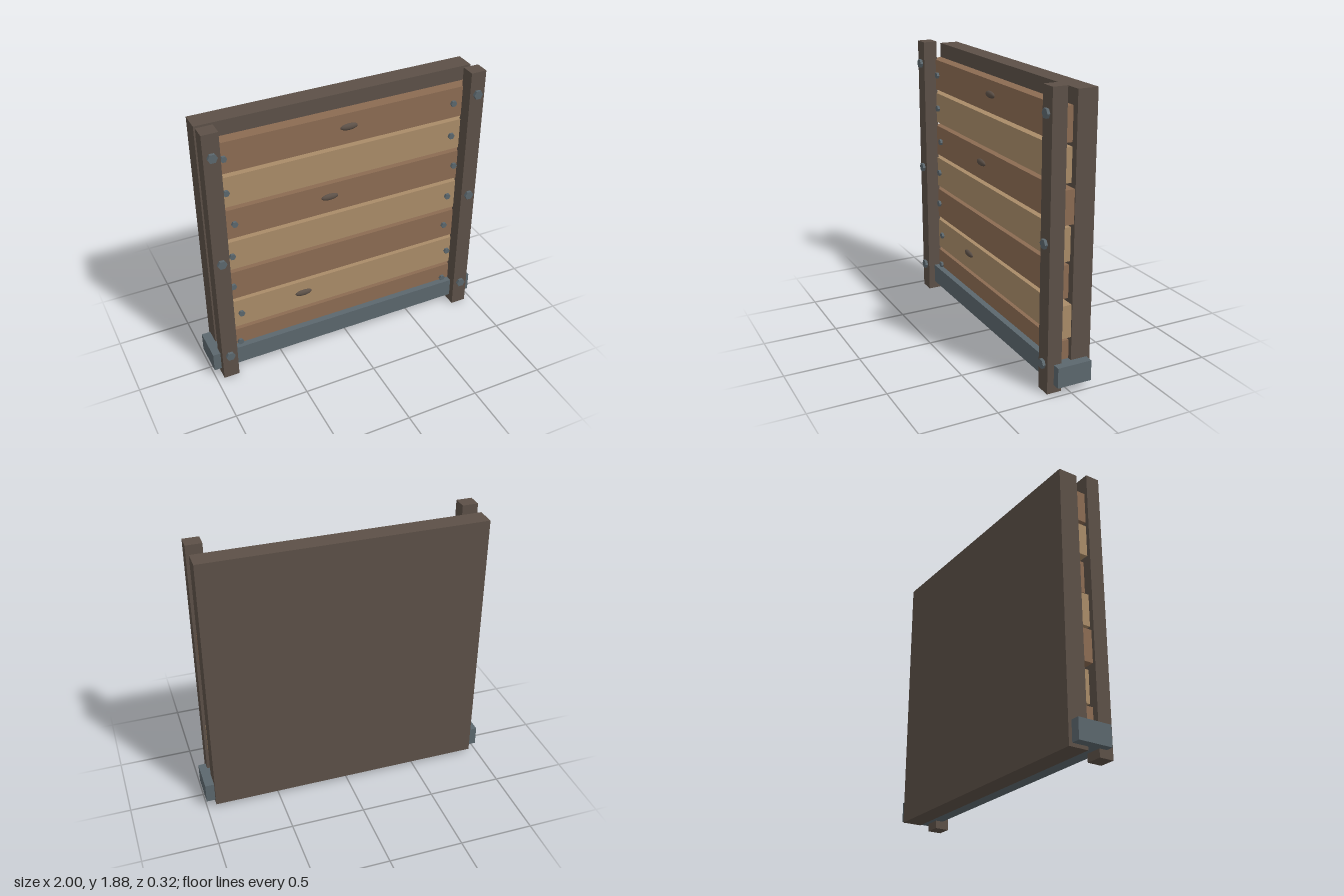
import * as THREE from 'three';

export function createModel() {
  const model = new THREE.Group();
  model.name = 'plankPanel';

  const material = (name, color) => {
    const m = new THREE.MeshStandardMaterial({ color });
    m.name = name;
    return m;
  };
  const darkWood = material('darkWood', 0x5c5047);
  const brownWood = material('brownWood', 0x8b6b52);
  const tanWood = material('tanWood', 0xa98b68);
  const steel = material('steel', 0x5b676d);

  const add = (name, geometry, mat, x, y, z, parent = model) => {
    const mesh = new THREE.Mesh(geometry, mat);
    mesh.name = name;
    mesh.position.set(x, y, z);
    parent.add(mesh);
    return mesh;
  };
  // Box given by its lower and upper limits
  const box = (name, mat, [x0, x1], [y0, y1], [z0, z1], parent) =>
    add(name, new THREE.BoxGeometry(x1 - x0, y1 - y0, z1 - z0), mat,
      (x0 + x1) / 2, (y0 + y1) / 2, (z0 + z1) / 2, parent);
  // Hexagonal head facing the front, corners to the sides
  const hexHead = (radius, depth) => {
    const g = new THREE.CylinderGeometry(radius, radius, depth, 6).toNonIndexed();
    g.rotateY(Math.PI / 6).rotateX(Math.PI / 2);
    g.computeVertexNormals();
    return g;
  };

  // Solid back and the steel bar across the foot
  box('backPanel', darkWood, [-0.94, 0.94], [0.03, 1.857], [-0.161, -0.028]);
  box('bottomBar', steel, [-1, 1], [0.053, 0.187], [-0.138, 0.096]);

  // Horizontal planks, each slid a little sideways, with a nail at each end
  const shifts = [-0.014, -0.014, 0.024, -0.008, -0.019, 0.023, 0];
  const nailGeometry = hexHead(0.022, 0.024);
  shifts.forEach((shift, i) => {
    const y = 1.65 - i * 0.241;
    const plank = new THREE.Group();
    plank.name = 'plank' + (i + 1);
    model.add(plank);
    box('board', i % 2 ? tanWood : brownWood,
      [shift - 0.909, shift + 0.909], [y - 0.107, y + 0.107], [-0.035, 0.053], plank);
    for (const side of [-1, 1]) add('nail', nailGeometry, steel, shift + side * 0.789, y, 0.058, plank);
  });

  // Flattened knots in the wood
  const knotGeometry = new THREE.SphereGeometry(1, 20, 12).scale(0.06, 0.023, 0.018);
  for (const [x, y] of [[0.024, 1.663], [-0.112, 1.18], [-0.315, 0.457]]) {
    add('knot', knotGeometry, darkWood, x, y, 0.053);
  }

  // Front posts with three bolts each
  const boltGeometry = hexHead(0.032, 0.026);
  for (const side of [-1, 1]) {
    const post = new THREE.Group();
    post.name = side > 0 ? 'leftPost' : 'rightPost';
    model.add(post);
    add('beam', new THREE.BoxGeometry(0.107, 1.885, 0.097), darkWood, side * 0.896, 0.9425, 0.0925, post);
    for (const y of [0.187, 0.958, 1.729]) add('bolt', boltGeometry, steel, side * 0.896, y, 0.147, post);
  }

  return model;
}
